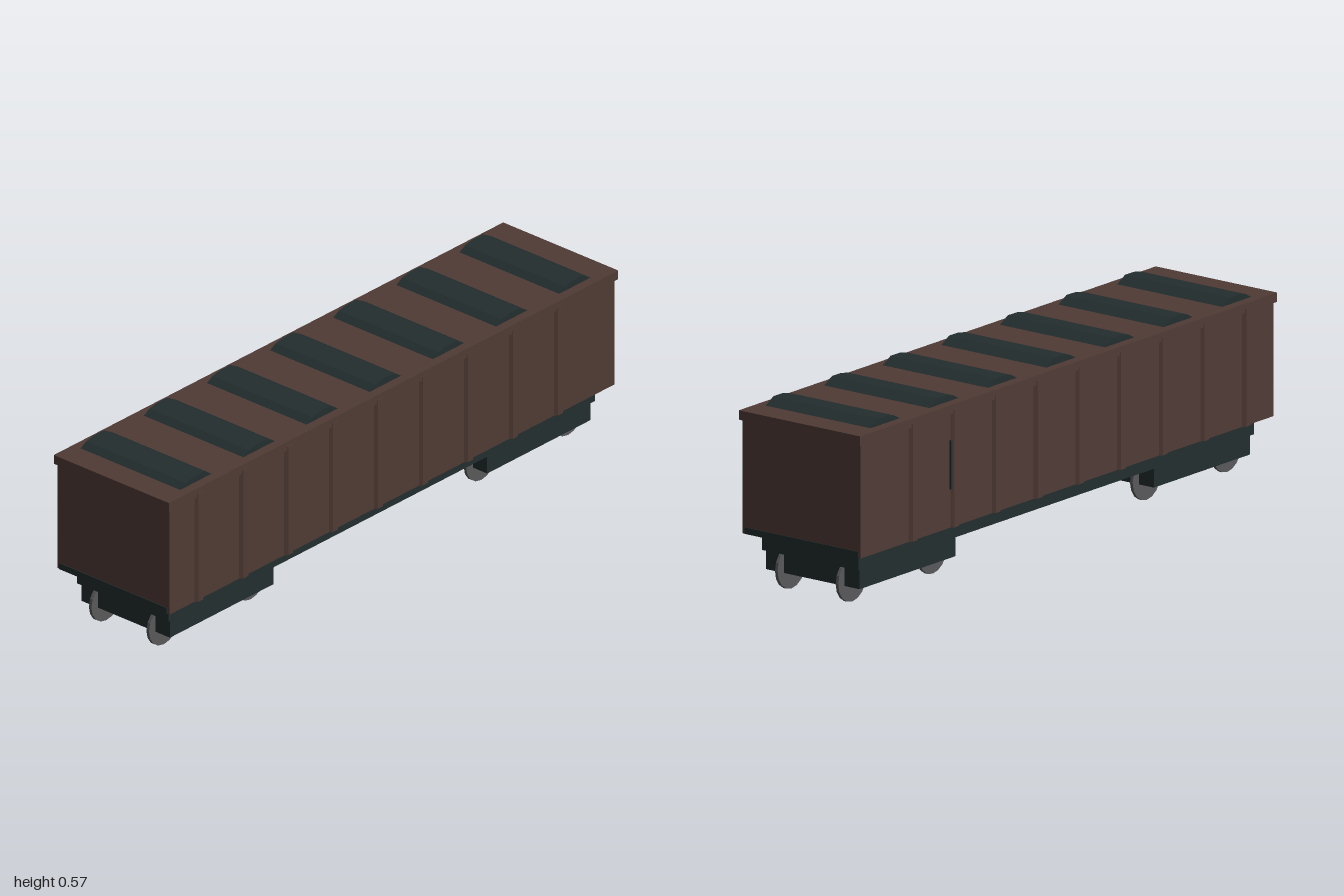
import * as THREE from 'three';

export function createModel() {
  const root = new THREE.Group();
  root.name = 'freightWagon';

  const mat = (name, color) => {
    const m = new THREE.MeshStandardMaterial({ color, flatShading: true });
    m.name = name;
    return m;
  };
  const brown = mat('wagonBrown', 0x503b35);
  const dark = mat('darkSlate', 0x232e2e);
  const grey = mat('wheelGrey', 0x59595b);

  const add = (name, geometry, material, x = 0, y = 0, z = 0) => {
    const mesh = new THREE.Mesh(geometry, material);
    mesh.name = name;
    mesh.position.set(x, y, z);
    root.add(mesh);
    return mesh;
  };
  // Box given by its lower and upper corner on each axis
  const box = (name, material, x0, x1, y0, y1, z0, z1) =>
    add(name, new THREE.BoxGeometry(x1 - x0, y1 - y0, z1 - z0), material,
      (x0 + x1) / 2, (y0 + y1) / 2, (z0 + z1) / 2);
  // Profile in the given plane extruded symmetrically
  const prism = (points, depth) => {
    const shape = new THREE.Shape(points.map(([x, y]) => new THREE.Vector2(x, y)));
    return new THREE.ExtrudeGeometry(shape, { depth, bevelEnabled: false });
  };

  // Body and roof slab
  box('body', brown, -0.99, 0.99, 0.171, 0.53, -0.224, 0.224);
  box('roof', brown, -1, 1, 0.523, 0.552, -0.23, 0.23);

  // Dark buffer strip at the foot of each end wall
  for (const s of [-1, 1]) {
    box('endStrip', dark, s * 0.9905 - 0.002, s * 0.9905 + 0.002, 0.171, 0.191, -0.215, 0.215);
  }

  // Tapered vertical ribs on both side walls
  const ribGeo = prism([[-0.021, 0], [0.021, 0], [0.011, 0.0095], [-0.011, 0.0095]], 0.364);
  ribGeo.rotateX(-Math.PI / 2); // profile depth now points to -z, length to +y
  for (let i = 0; i < 9; i++) {
    const x = -0.86 + i * 0.2;
    add('backRib', ribGeo, brown, x, 0.171, -0.223);
    add('frontRib', ribGeo, brown, x, 0.171, 0.223).rotation.y = Math.PI;
  }
  // Grab bar beside one rear rib
  box('grabBar', dark, 0.556, 0.563, 0.29, 0.442, -0.229, -0.222);

  // Roof hatches with a crest towards the left
  const hatchGeo = prism([
    [-0.07, 0], [0.07, 0], [0.032, 0.021], [-0.012, 0.0205], [-0.045, 0.014],
  ], 0.398);
  for (let i = 0; i < 7; i++) {
    add('roofHatch', hatchGeo, dark, -0.845 + i * 0.281, 0.552, -0.199);
  }

  // Underframe
  box('underframe', dark, -0.948, 0.948, 0.117, 0.171, -0.183, 0.183);

  // Bogies with two wheelsets each
  const wheelGeo = new THREE.CylinderGeometry(0.067, 0.067, 0.01, 16);
  wheelGeo.rotateX(Math.PI / 2);
  for (const s of [-1, 1]) {
    const c = s * 0.706;
    box('bogie', dark, c - 0.23, c + 0.23, 0.056, 0.118, -0.177, 0.177);
    for (const dx of [-0.193, 0.193]) {
      for (const z of [-0.115, 0.115]) add('wheel', wheelGeo, grey, c + dx, 0.067, z);
    }
  }
  return root;
}
